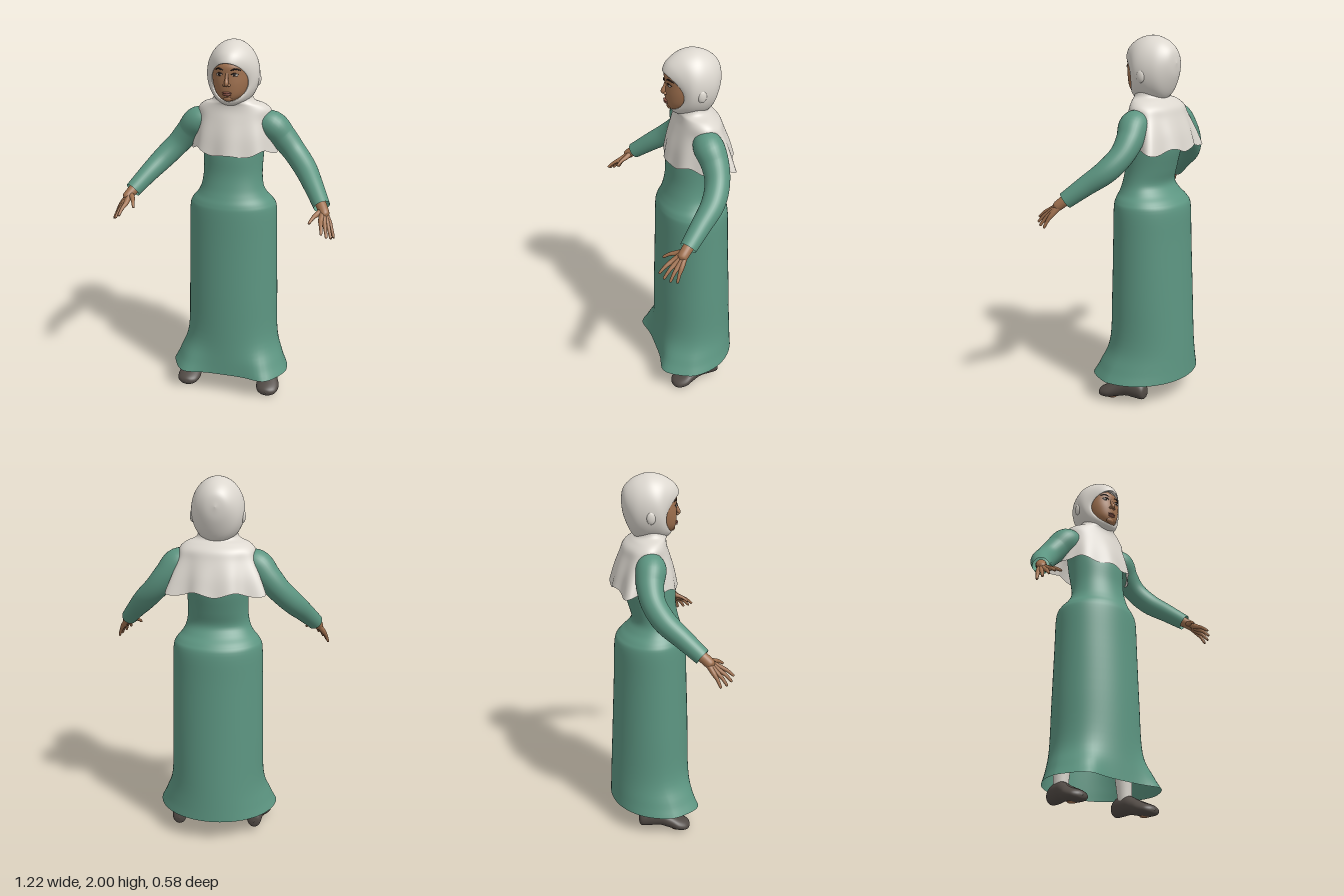
import * as THREE from 'three';

const mat = (name, color, side = THREE.FrontSide) => {
  const m = new THREE.MeshStandardMaterial({ color, side });
  m.name = name;
  return m;
};

// Spread a few control rows into many with a smooth cubic
function refine(rows, steps) {
  const stride = rows[0].length;
  const f = new THREE.CubicInterpolant(rows.map((_, i) => i), new Float32Array(rows.flat()), stride);
  const out = [];
  const n = (rows.length - 1) * steps;
  for (let i = 0; i <= n; i++) out.push(Array.from(f.evaluate(Math.min(i / steps, rows.length - 1))));
  return out;
}

// Skin a list of closed rings, each running anticlockwise about the path
function skin(name, rings, material) {
  const seg = rings[0].length, pos = [], idx = [];
  rings.forEach(r => r.forEach(p => pos.push(p.x, p.y, p.z)));
  for (let i = 0; i < rings.length - 1; i++) {
    for (let j = 0; j < seg; j++) {
      const a = i * seg + j, b = i * seg + (j + 1) % seg;
      idx.push(a, b, b + seg, a, b + seg, a + seg);
    }
  }
  const g = new THREE.BufferGeometry();
  g.setAttribute('position', new THREE.Float32BufferAttribute(pos, 3));
  g.setIndex(idx);
  g.computeVertexNormals();
  const mesh = new THREE.Mesh(g, material);
  mesh.name = name;
  return mesh;
}

// Upright body: rows are [y, halfWidth, centreZ, frontDepth, backDepth, extra]
function upright(name, rows, material, { seg = 64, steps = 5, warp } = {}) {
  const rings = refine(rows, steps).map(row => {
    const [y, rx, cz, rf, rb] = row;
    return Array.from({ length: seg }, (_, j) => {
      const a = j / seg * Math.PI * 2, c = Math.cos(a);
      const p = new THREE.Vector3(rx * Math.sin(a), y, cz + (c > 0 ? rf : rb) * c);
      if (warp) warp(p, a > Math.PI ? 2 * Math.PI - a : a, row);
      return p;
    });
  });
  return skin(name, rings, material);
}

// Body along z: rows are [z, centreX, halfWidth, bottomY, topY, bend, tilt]
function lengthwise(name, rows, material, seg = 48, steps = 5) {
  const rings = refine(rows, steps).map(([z, cx, rx, yb, yt, bend = 0, tilt = 0]) =>
    Array.from({ length: seg }, (_, j) => {
      const a = j / seg * Math.PI * 2, s = Math.sin(a);
      return new THREE.Vector3(cx + rx * Math.cos(a), (yb + yt) / 2 + (yt - yb) / 2 * s, z + bend * s * s + tilt * s);
    }));
  return skin(name, rings, material);
}

// Limb along a curve: points are [x, y, z, radius]
function limb(name, pts, material, seg = 24, steps = 6) {
  const curve = new THREE.CatmullRomCurve3(pts.map(p => new THREE.Vector3(p[0], p[1], p[2])));
  const radii = refine(pts.map(p => [p[3]]), steps), n = radii.length - 1;
  const centres = radii.map((_, i) => curve.getPoint(i / n));
  const frames = radii.map((_, i) => {
    const t = curve.getTangent(i / n);
    const u = new THREE.Vector3(0, 0, 1).addScaledVector(t, -t.z).normalize();
    return [u, t.clone().cross(u)];
  });
  const rings = radii.map(([r], i) => Array.from({ length: seg }, (_, j) => {
    const a = j / seg * Math.PI * 2;
    return centres[i].clone().addScaledVector(frames[i][0], r * Math.cos(a)).addScaledVector(frames[i][1], r * Math.sin(a));
  }));
  return skin(name, rings, material);
}

function blob(name, [x, y, z], [sx, sy, sz], material) {
  const mesh = new THREE.Mesh(new THREE.SphereGeometry(1, 24, 16), material);
  mesh.position.set(x, y, z);
  mesh.scale.set(sx, sy, sz);
  mesh.name = name;
  return mesh;
}

export function createModel() {
  const model = new THREE.Group();
  model.name = 'robedFigure';
  const green = mat('green cloth', 0x5c9581, THREE.DoubleSide);
  const white = mat('white cloth', 0xdcd7cf, THREE.DoubleSide);
  const skinTone = mat('skin', 0xa0714f);
  const shoeMat = mat('shoe leather', 0x514a45);
  const dark = mat('brow and iris', 0x2a1d18);
  const eyeWhite = mat('eye white', 0xcfc6bc);
  const lip = mat('lips', 0x8f5546);

  // Long dress with a hem that flares at the front corners
  model.add(upright('dress', [
    [.13, .335, .02, .148, .31, .06],
    [.2, .303, 0, .165, .287, .035],
    [.33, .262, -.04, .2, .242, .005],
    [.6, .254, -.05, .205, .22, 0],
    [.9, .248, -.05, .195, .207, 0],
    [1.08, .244, -.05, .19, .2, 0],
    [1.13, .228, -.047, .18, .178, 0],
    [1.17, .195, -.04, .157, .145, 0],
    [1.22, .172, -.035, .135, .12, 0],
    [1.3, .163, -.045, .13, .13, 0],
    [1.42, .168, -.06, .14, .145, 0],
    [1.52, .178, -.07, .12, .125, 0],
    [1.6, .13, -.07, .085, .09, 0],
    [1.64, .07, -.06, .06, .06, 0]
  ], green, {
    warp: (p, m, row) => { p.z += row[5] * Math.exp(-(((m - .8) / .36) ** 2)); }
  }));

  // Shoulder cape with soft pleats and wide back corners
  model.add(upright('cape', [
    [1.415, .236, -.09, .18, .178],
    [1.5, .222, -.09, .162, .155],
    [1.58, .205, -.085, .133, .13],
    [1.63, .2, -.08, .113, .115],
    [1.662, .168, -.07, .1, .088],
    [1.685, .115, -.05, .085, .083],
    [1.73, .1, -.05, .075, .085]
  ], white, {
    seg: 120,
    warp: (p, m) => {
      const k = THREE.MathUtils.clamp((1.64 - p.y) / .22, 0, 1);
      const out = 1 + k * (.028 * Math.cos(9 * m) + .26 * Math.exp(-(((m - 2.12) / .24) ** 2)));
      p.x *= out;
      p.z = -.09 + (p.z + .09) * out;
      p.y += k * k * (.012 * Math.cos(7 * m) - .022 * Math.exp(-((m / .4) ** 2)));
    }
  }));

  // Hood, from the back of the head to the rim around the face
  model.add(lengthwise('hood', [
    [-.203, 0, .001, 1.859, 1.861, 0, 0],
    [-.19, 0, .06, 1.78, 1.925, 0, 0],
    [-.15, 0, .108, 1.69, 1.968, 0, 0],
    [-.1, 0, .132, 1.655, 1.992, 0, 0],
    [-.05, 0, .141, 1.65, 2.0, 0, 0],
    [-.015, 0, .136, 1.655, 1.985, .025, .005],
    [.01, 0, .118, 1.672, 1.945, .05, .015],
    [.02, 0, .1, 1.69, 1.9, .06, .02],
    [.008, 0, .094, 1.697, 1.895, .055, .02]
  ], white, 64));

  // Face
  model.add(upright('face', [
    [1.685, .012, 0, .045, .03],
    [1.7, .048, 0, .07, .05],
    [1.73, .078, 0, .083, .07],
    [1.78, .097, -.01, .098, .08],
    [1.83, .102, -.01, .096, .09],
    [1.88, .1, -.02, .105, .1],
    [1.92, .07, -.03, .08, .08]
  ], skinTone));
  model.add(limb('noseBridge', [[0, 1.845, .08, .007], [0, 1.815, .09, .009], [0, 1.79, .098, .012], [0, 1.778, .094, .004]], skinTone));
  model.add(blob('upperLip', [0, 1.742, .087], [.025, .006, .008], lip));
  model.add(blob('lowerLip', [0, 1.732, .085], [.022, .007, .009], lip));
  model.add(blob('chin', [0, 1.71, .066], [.025, .017, .014], skinTone));

  for (const s of [1, -1]) {
    const side = s > 0 ? 'left' : 'right';
    const named = part => side + part;

    // Facial details
    model.add(blob(named('Nostril'), [s * .012, 1.783, .09], [.009, .007, .01], skinTone));
    model.add(blob(named('EyeWhite'), [s * .04, 1.835, .077], [.018, .008, .006], eyeWhite));
    model.add(blob(named('Iris'), [s * .04, 1.835, .081], [.007, .0075, .004], dark));
    model.add(limb(named('Lashes'), [[s * .02, 1.837, .083, .002], [s * .04, 1.844, .082, .003], [s * .061, 1.836, .07, .002]], dark, 8));
    model.add(limb(named('Brow'), [[s * .018, 1.858, .084, .003], [s * .045, 1.866, .078, .004], [s * .07, 1.857, .062, .002]], dark, 8));
    model.add(blob(named('EarBulge'), [s * .132, 1.795, -.065], [.014, .034, .024], white));

    // Sleeve
    model.add(limb(named('Sleeve'), [
      [s * .13, 1.555, -.075, .06], [s * .205, 1.548, -.078, .079], [s * .265, 1.485, -.092, .072],
      [s * .33, 1.41, -.085, .064], [s * .4, 1.335, -.04, .061], [s * .465, 1.26, .045, .052],
      [s * .525, 1.185, .13, .044]
    ], green, 32));

    // Hand: forearm stub, palm and five fingers
    const hand = new THREE.Group();
    hand.name = named('Hand');
    hand.add(limb('wrist', [[s * .5, 1.215, .095, .03], [s * .53, 1.178, .14, .028], [s * .55, 1.15, .17, .024], [s * .56, 1.14, .18, .001]], skinTone));
    const fingers = {
      index: [.535, 1.133, .213, .55, 1.085, .285],
      middle: [.552, 1.124, .205, .575, 1.066, .27],
      ring: [.566, 1.117, .193, .594, 1.054, .243],
      little: [.576, 1.114, .178, .604, 1.048, .21],
      thumb: [.507, 1.155, .185, .48, 1.125, .245]
    };
    for (const [name, [kx, ky, kz, tx, ty, tz]] of Object.entries(fingers)) {
      const mid = [s * (kx + tx) / 2, (ky + ty) / 2 + .006, (kz + tz) / 2, .0095];
      hand.add(limb(name + 'Finger', [
        [s * .535, 1.172, .145, .018], [s * kx, ky, kz, .0135], mid,
        [s * tx, ty, tz, .0065], [s * tx, ty - .003, tz + .003, .0005]
      ], skinTone, 12, 4));
    }
    model.add(hand);

    // Trouser leg and shoe
    model.add(limb(named('TrouserLeg'), [[s * .215, .09, -.07, .036], [s * .21, .2, -.07, .045], [s * .18, .5, -.06, .06], [s * .17, .52, -.06, .001]], white));
    model.add(lengthwise(named('Shoe'), [
      [-.156, s * .215, .001, .069, .071],
      [-.145, s * .215, .034, .033, .112],
      [-.1, s * .216, .044, .028, .137],
      [-.04, s * .222, .046, .03, .132],
      [.01, s * .23, .053, .018, .106],
      [.06, s * .236, .066, .005, .082],
      [.105, s * .238, .057, .002, .062],
      [.128, s * .238, .032, .01, .047],
      [.136, s * .238, .001, .027, .029]
    ], shoeMat, 32));
    model.add(blob(named('SolePatch'), [s * .24, .008, .06], [.026, .006, .032], skinTone));
  }
  return model;
}
